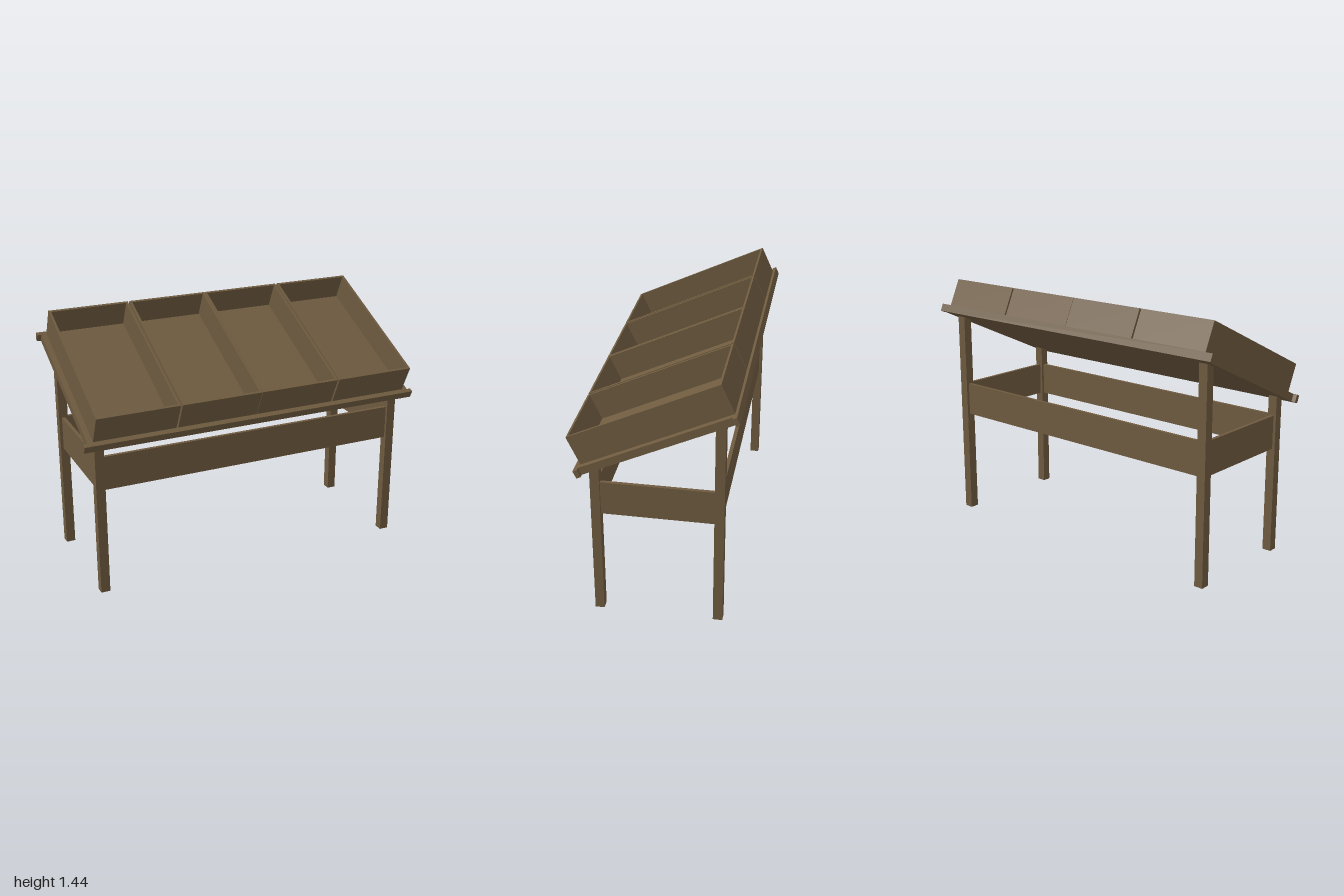
import * as THREE from 'three';

export function createModel() {
  const model = new THREE.Group();
  model.name = 'displayTable';
  const wood = new THREE.MeshStandardMaterial({ color: 0x6e5a3f });
  wood.name = 'brownWood';

  // box given by its min and max on each axis
  function box(parent, name, [x0, x1], [y0, y1], [z0, z1]) {
    const mesh = new THREE.Mesh(new THREE.BoxGeometry(x1 - x0, y1 - y0, z1 - z0), wood);
    mesh.position.set((x0 + x1) / 2, (y0 + y1) / 2, (z0 + z1) / 2);
    mesh.name = name;
    parent.add(mesh);
    return mesh;
  }

  // legs, taller at the back, ending inside the sloped board
  for (const [side, x0] of [['left', 0.877], ['right', -0.929]]) {
    const x = [x0, x0 + 0.052];
    box(model, side + 'FrontLeg', x, [0, 0.922], [0.285, 0.335]);
    box(model, side + 'BackLeg', x, [0, 1.226], [-0.368, -0.316]);
    box(model, side + 'Apron', [x0 + 0.016, x0 + 0.036], [0.612, 0.804], [-0.316, 0.285]);
  }

  // long aprons
  box(model, 'frontApron', [-0.877, 0.877], [0.612, 0.804], [0.3, 0.32]);
  box(model, 'backApron', [-0.877, 0.877], [0.612, 0.804], [-0.352, -0.332]);

  // sloped top: local y is the board normal, local z runs down the slope
  const top = new THREE.Group();
  top.name = 'slopedTop';
  top.rotation.x = THREE.MathUtils.degToRad(25);
  model.add(top);

  box(top, 'board', [-0.977, 0.977], [0.951, 0.994], [-0.91, -0.046]);
  box(top, 'frontRail', [-1, 1], [0.951, 0.995], [-0.046, -0.021]);
  box(top, 'backRail', [-1, 1], [0.951, 0.995], [-0.934, -0.91]);

  // open crates standing on the board
  const half = 0.2335, wall = 0.0135, z0 = -0.918, z1 = -0.052, y0 = 0.994, y1 = 1.161;
  for (const cx of [-0.712, -0.2345, 0.2345, 0.712]) {
    const crate = new THREE.Group();
    crate.name = 'crate';
    crate.position.x = cx;
    top.add(crate);
    box(crate, 'crateFloor', [-half + wall, half - wall], [y0, y0 + wall], [z0 + wall, z1 - wall]);
    box(crate, 'crateFront', [-half, half], [y0, y1], [z1 - wall, z1]);
    box(crate, 'crateBack', [-half, half], [y0, y1], [z0, z0 + wall]);
    box(crate, 'crateLeftSide', [half - wall, half], [y0, y1], [z0 + wall, z1 - wall]);
    box(crate, 'crateRightSide', [-half, -half + wall], [y0, y1], [z0 + wall, z1 - wall]);
  }

  return model;
}
